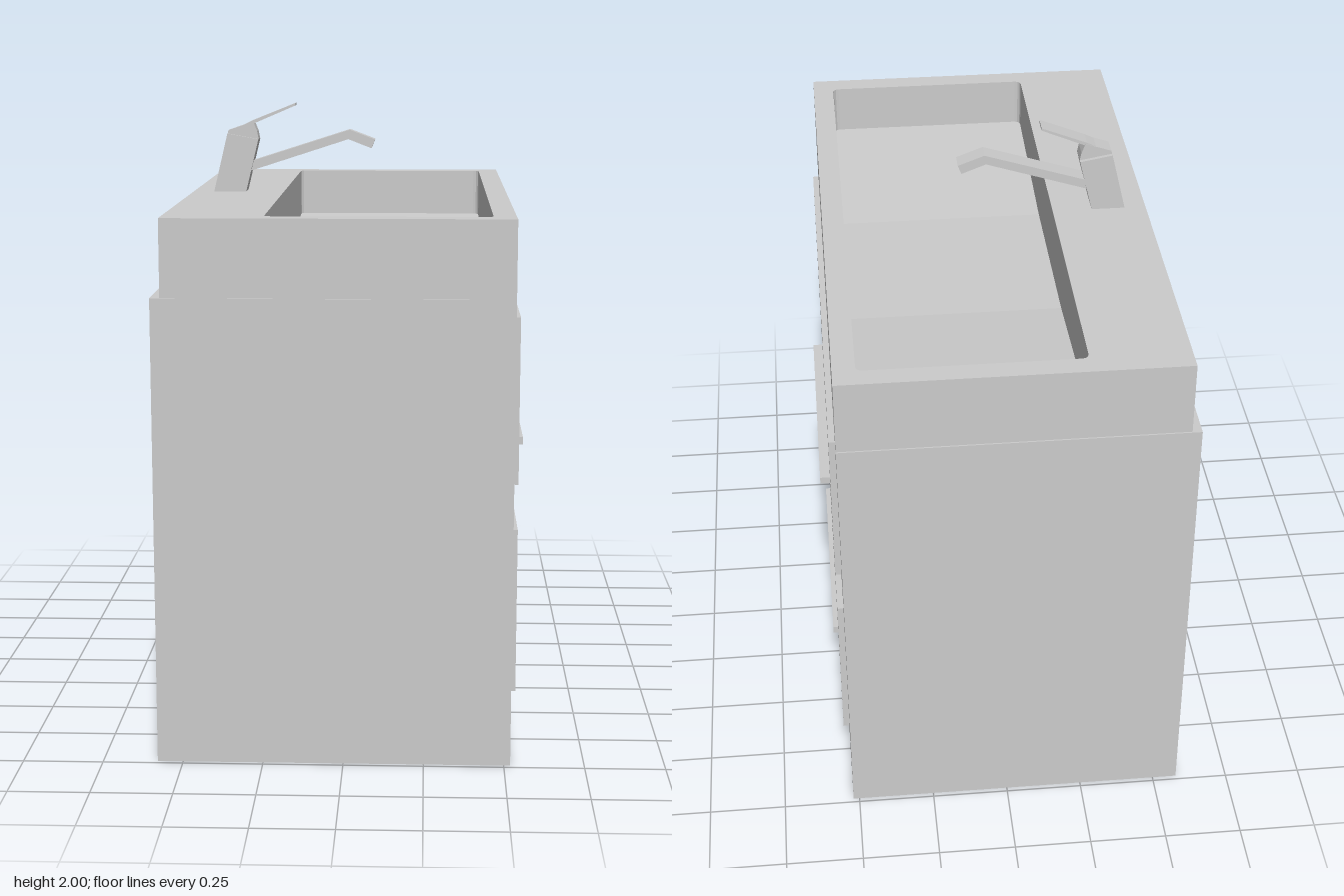
import * as THREE from 'three';

const material = new THREE.MeshStandardMaterial({ color: 0xcccccc, flatShading: true });
const sheet = new THREE.MeshStandardMaterial({ color: 0xcccccc, flatShading: true, side: THREE.DoubleSide });

function add(group, name, geometry, mat = material) {
  const mesh = new THREE.Mesh(geometry, mat);
  mesh.name = name;
  group.add(mesh);
  return mesh;
}

// Box given by its limits on each axis
function block(group, name, [x0, x1], [y0, y1], [z0, z1]) {
  const mesh = add(group, name, new THREE.BoxGeometry(x1 - x0, y1 - y0, z1 - z0));
  mesh.position.set((x0 + x1) / 2, (y0 + y1) / 2, (z0 + z1) / 2);
}

// Side profile in x and y, extruded symmetrically across z
function profile(group, name, points, halfWidth) {
  const shape = new THREE.Shape(points.map(([x, y]) => new THREE.Vector2(x, y)));
  const geometry = new THREE.ExtrudeGeometry(shape, { depth: 2 * halfWidth, bevelEnabled: false });
  add(group, name, geometry.translate(0, 0, -halfWidth));
}

const RIM = 1.7, SHELF = 1.46;
const BACK = -0.55, FRONT = 0.52, HALF = 0.98;

// Basin floor: level in the middle, rising gently to both ends
function floorHeight(z) {
  const rise = Math.max(0, Math.abs(z) - 0.3) / 0.61;
  return RIM - 0.215 + 0.05 * rise;
}

// Outline of the basin opening with small rounded corners
function basinOutline() {
  const x0 = -0.24, x1 = 0.45, h = 0.91, r = 0.02;
  const points = [];
  const corners = [[x1 - r, h - r], [x0 + r, h - r], [x0 + r, r - h], [x1 - r, r - h]];
  corners.forEach(([x, z], c) => {
    for (let i = 0; i <= 3; i++) {
      const a = (c + i / 3) * Math.PI / 2;
      points.push(new THREE.Vector2(x + r * Math.cos(a), z + r * Math.sin(a)));
    }
    // breaks along the long sides where the floor bends
    if (c === 1) points.push(new THREE.Vector2(x0, 0.3), new THREE.Vector2(x0, -0.3));
    if (c === 3) points.push(new THREE.Vector2(x1, -0.3), new THREE.Vector2(x1, 0.3));
  });
  return points;
}

function createSink() {
  const sink = new THREE.Group();
  sink.name = 'sink';
  const outline = basinOutline();

  // Flat top with the basin opening
  const top = new THREE.Shape([
    new THREE.Vector2(BACK, -HALF), new THREE.Vector2(FRONT, -HALF),
    new THREE.Vector2(FRONT, HALF), new THREE.Vector2(BACK, HALF),
  ]);
  top.holes.push(new THREE.Path(outline));
  const topGeometry = new THREE.ShapeGeometry(top).rotateX(-Math.PI / 2).translate(0, RIM, 0);
  add(sink, 'sinkTop', topGeometry, sheet);

  // Outer skirt, open toward the wall
  const height = RIM - SHELF, middle = (RIM + SHELF) / 2;
  const front = add(sink, 'sinkFront', new THREE.PlaneGeometry(2 * HALF, height), sheet);
  front.rotation.y = Math.PI / 2;
  front.position.set(FRONT, middle, 0);
  for (const side of [1, -1]) {
    const end = add(sink, side > 0 ? 'sinkLeftEnd' : 'sinkRightEnd',
      new THREE.PlaneGeometry(FRONT - BACK, height), sheet);
    end.rotation.y = side > 0 ? 0 : Math.PI;
    end.position.set((FRONT + BACK) / 2, middle, side * HALF);
  }

  // Basin walls from the rim down to the floor
  const positions = [], index = [];
  outline.forEach((p, i) => {
    positions.push(p.x, RIM, p.y, p.x, floorHeight(p.y), p.y);
    const a = 2 * i, b = 2 * ((i + 1) % outline.length);
    index.push(a, b, a + 1, b, b + 1, a + 1);
  });
  const walls = new THREE.BufferGeometry();
  walls.setAttribute('position', new THREE.Float32BufferAttribute(positions, 3));
  walls.setIndex(index);
  walls.computeVertexNormals();
  add(sink, 'basinWalls', walls, sheet);

  // Basin floor, bent along two lines
  const floor = new THREE.PlaneGeometry(0.69, 1.82, 1, 3).rotateX(-Math.PI / 2).translate(0.105, 0, 0);
  const pos = floor.attributes.position;
  for (let i = 0; i < pos.count; i++) pos.setY(i, floorHeight(pos.getZ(i)));
  floor.computeVertexNormals();
  add(sink, 'basinFloor', floor, sheet);
  return sink;
}

function createFaucet() {
  const faucet = new THREE.Group();
  faucet.name = 'faucet';
  profile(faucet, 'faucetBody', [[-0.48, RIM], [-0.37, RIM], [-0.327, 1.878], [-0.433, 1.897]], 0.045);
  profile(faucet, 'faucetHead',
    [[-0.433, 1.897], [-0.327, 1.878], [-0.332, 1.905], [-0.345, 1.937], [-0.43, 1.908]], 0.032);
  profile(faucet, 'faucetLever', [[-0.43, 1.9], [-0.345, 1.93], [-0.2, 1.992], [-0.2, 2], [-0.35, 1.94]], 0.03);
  profile(faucet, 'faucetSpout',
    [[-0.36, 1.768], [-0.02, 1.878], [0.06, 1.847], [0.072, 1.877], [-0.015, 1.91], [-0.36, 1.8]], 0.03);
  return faucet;
}

export function createModel() {
  const model = new THREE.Group();
  model.name = 'vanityUnit';

  block(model, 'cabinet', [-0.58, FRONT], [0, SHELF], [-0.985, 0.985]);

  // Two drawers, each with a bar handle near its lower edge
  const drawers = [
    { name: 'lowerDrawer', y: 0.19, reach: 0.557 },
    { name: 'upperDrawer', y: 0.86, reach: 0.573 },
  ];
  for (const { name, y, reach } of drawers) {
    const drawer = new THREE.Group();
    drawer.name = name;
    block(drawer, 'drawerFront', [FRONT, 0.54], [y, y + 0.525], [-0.83, 0.83]);
    block(drawer, 'drawerHandle', [0.54, reach], [y + 0.036, y + 0.061], [-0.4, 0.4]);
    model.add(drawer);
  }

  model.add(createSink(), createFaucet());
  return model;
}
